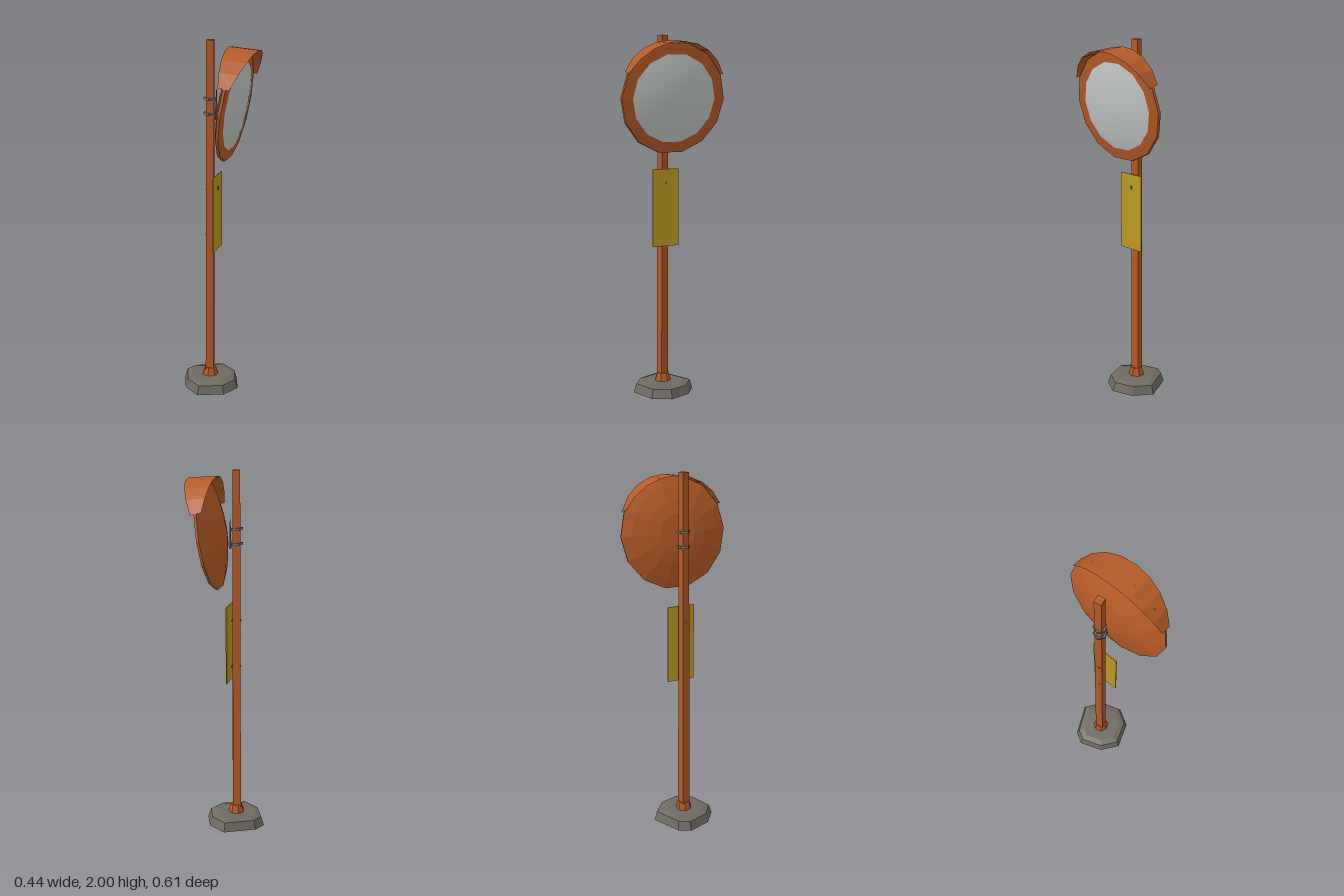
import * as THREE from 'three';

const mat = (name, color, side = THREE.FrontSide) =>
  Object.assign(new THREE.MeshStandardMaterial({ color, side }), { name });

// faceted normals
function facet(geo) {
  const g = geo.index ? geo.toNonIndexed() : geo;
  g.computeVertexNormals();
  return g;
}

// surface through a list of cross-sections, each an array of [x, y, z]
function loft(rings, closed) {
  const pos = [], n = rings[0].length, last = closed ? n : n - 1;
  for (let r = 0; r < rings.length - 1; r++) {
    for (let i = 0; i < last; i++) {
      const j = (i + 1) % n;
      const a = rings[r][i], b = rings[r][j], c = rings[r + 1][j], d = rings[r + 1][i];
      pos.push(...a, ...b, ...c, ...a, ...c, ...d);
    }
  }
  const g = new THREE.BufferGeometry();
  g.setAttribute('position', new THREE.Float32BufferAttribute(pos, 3));
  g.computeVertexNormals();
  return g;
}

const lathe = (pts, sides) => new THREE.LatheGeometry(pts.map(p => new THREE.Vector2(...p)), sides);

export function createModel() {
  const model = new THREE.Group();
  const orange = mat('orange paint', 0xb55a28);
  const orangeThin = mat('orange sheet', 0xb55a28, THREE.DoubleSide);
  const concrete = mat('concrete', 0x6e6a62, THREE.DoubleSide);
  const steel = mat('clamp steel', 0x66706e, THREE.DoubleSide);
  const glass = mat('mirror glass', 0xc4c9c8);
  const yellow = mat('yellow plate', 0xbd9a22);

  const add = (name, geo, material, x = 0, y = 0, z = 0, parent = model) => {
    const m = new THREE.Mesh(geo, material);
    m.name = name;
    m.position.set(x, y, z);
    parent.add(m);
    return m;
  };

  // hollow irregular foot
  const outline = [[-0.22, -0.03], [-0.172, 0.1], [-0.078, 0.17], [0.065, 0.12],
    [0.12, 0.02], [0.08, -0.1], [-0.017, -0.172], [-0.185, -0.095]];
  const rings = [[1, 0], [0.9, 0.05], [0.7, 0.06], [0, 0.062]].map(([s, y]) =>
    outline.map(([x, z]) => [-0.05 + (x + 0.05) * s, y, z * s]));
  add('base', loft(rings, true), concrete);

  // square pole, slightly tapered and leaning
  const poleGeo = new THREE.CylinderGeometry(0.028, 0.033, 1.95, 4);
  poleGeo.rotateY(Math.PI / 4 + 0.22);
  const pole = add('pole', facet(poleGeo), orange, -0.051, 1.025, 0);
  pole.rotation.z = -0.004;

  const collarGeo = new THREE.CylinderGeometry(0.034, 0.046, 0.045, 7);
  add('poleCollar', facet(collarGeo), orange, -0.053, 0.083, 0);

  // clamps round the pole, with their plate
  for (const y of [1.61, 1.69]) {
    const c = new THREE.CylinderGeometry(0.037, 0.037, 0.012, 5);
    const clamp = add('poleClamp', facet(c), steel, -0.047, y, 0);
    clamp.rotation.z = -0.1;
  }
  const plate = new THREE.Shape([new THREE.Vector2(-0.022, 1.58),
    new THREE.Vector2(0.018, 1.59), new THREE.Vector2(0.004, 1.74)]);
  const plateGeo = new THREE.ExtrudeGeometry(plate, { depth: 0.004, bevelEnabled: false });
  plateGeo.rotateY(Math.PI / 2);
  add('mountPlate', plateGeo, steel, -0.017);

  // sign plate with its straps and bolt
  add('signPlate', new THREE.BoxGeometry(0.006, 0.43, 0.156), yellow, -0.01, 1.06, 0);
  for (const y of [0.93, 1.19]) {
    add('signStrap', new THREE.BoxGeometry(0.05, 0.007, 0.035), steel, -0.048, y, 0);
  }
  add('signBolt', new THREE.BoxGeometry(0.006, 0.018, 0.014), steel, -0.005, 1.2, 0);

  // mirror head, tipped toward the road
  const head = new THREE.Group();
  head.name = 'mirrorHead';
  head.position.set(0.095, 1.66, 0);
  head.rotation.z = -0.15;
  model.add(head);
  const shell = lathe([[0, -0.072], [0.1, -0.069], [0.17, -0.055], [0.25, -0.032],
    [0.303, -0.012], [0.3, 0.002], [0.24, 0.008]], 14);
  shell.rotateZ(-Math.PI / 2);
  add('mirrorHousing', facet(shell), orange, 0, 0, 0, head);

  // bulging glass
  const cap = [];
  for (let i = 0; i <= 8; i++) {
    const r = 0.25 * (1 - i / 8);
    cap.push([r, 0.004 + 0.027 * (1 - (r / 0.25) ** 2)]);
  }
  const capGeo = lathe(cap, 48);
  capGeo.rotateZ(-Math.PI / 2);
  add('mirrorGlass', capGeo, glass, 0, 0, 0, head);

  // visor over the top of the mirror
  const A = 1.1, back = [], front = [];
  for (let i = 0; i <= 8; i++) {
    const a = -A + 2 * A * i / 8;
    const c = (Math.cos(a) - Math.cos(A)) / (1 - Math.cos(A));
    const y = 1.66 + 0.308 * Math.cos(a), z = 0.308 * Math.sin(a);
    back.push([0.077 - 0.022 * c, y, z]);
    front.push([0.135 + 0.08 * c, y - 0.012, z]);
  }
  add('visor', loft([back, front], false), orangeThin);

  return model;
}
